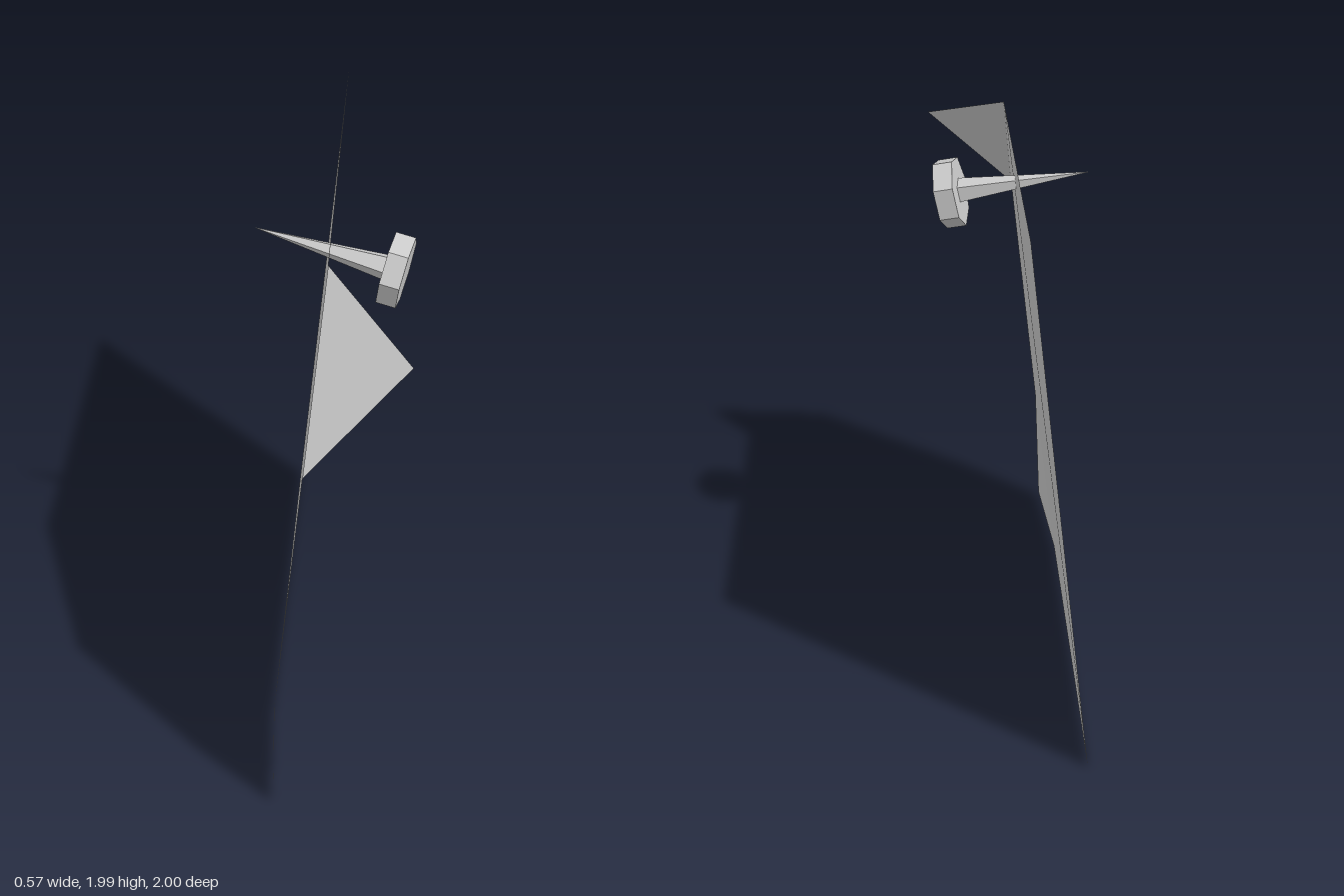
import * as THREE from 'three';

const material = new THREE.MeshStandardMaterial({ color: 0xcccccc, flatShading: true, side: THREE.DoubleSide });
const V = (x, y, z) => new THREE.Vector3(x, y, z);

// Flat panel: a fan of triangles over an ordered ring of corners
function panel(name, corners) {
  const points = [];
  for (let i = 1; i < corners.length - 1; i++) points.push(corners[0], corners[i], corners[i + 1]);
  const geometry = new THREE.BufferGeometry().setFromPoints(points);
  geometry.computeVertexNormals();
  const mesh = new THREE.Mesh(geometry, material);
  mesh.name = name;
  return mesh;
}

function createPin() {
  const pin = new THREE.Group();
  pin.name = 'pushPin';
  const tip = V(-0.27, 1.86, 0.02), face = V(0.247, 1.753, 0.177);
  const length = tip.distanceTo(face), headDepth = 0.072;

  // Seven-sided head
  const head = new THREE.Mesh(new THREE.CylinderGeometry(0.13, 0.13, headDepth, 7), material);
  head.name = 'pinHead';
  head.position.y = length - headDepth / 2;

  // Tapered spike, wide at the head and sharp at the far end
  const spikeLength = length - headDepth;
  const spike = new THREE.Mesh(new THREE.CylinderGeometry(0.048, 0.001, spikeLength, 5), material);
  spike.name = 'pinSpike';
  spike.position.y = spikeLength / 2;
  pin.add(head, spike);

  // Aim the pin from its tip to its head, with one head corner towards the front
  const axis = face.clone().sub(tip).normalize();
  const side = axis.clone().cross(V(0, 0, 1)).normalize();
  const front = side.clone().cross(axis);
  pin.quaternion.setFromRotationMatrix(new THREE.Matrix4().makeBasis(side, axis, front));
  pin.position.copy(tip);
  return pin;
}

export function createModel() {
  const model = new THREE.Group();
  model.name = 'pinnedNote';

  const bottomBack = V(-0.09, 0, -1), topBack = V(0.12, 1.99, -0.98);
  const topFold = V(-0.042, 1.99, 0.51), frontFold = V(-0.152, 1.5, 1);
  const frontBend = V(-0.26, 0.5, 0.995), bottomBend = V(-0.257, 0.008, 0.515);

  // Leaning sheet, folded-over upper corner and slightly curled lower corner
  model.add(
    panel('sheet', [bottomBack, topBack, topFold, frontFold, frontBend, bottomBend]),
    panel('foldedCorner', [frontFold, topFold, V(0.203, 1.845, 0.905)]),
    panel('curledCorner', [bottomBend, frontBend, V(-0.275, 0.018, 0.985)]),
    createPin(),
  );
  return model;
}
